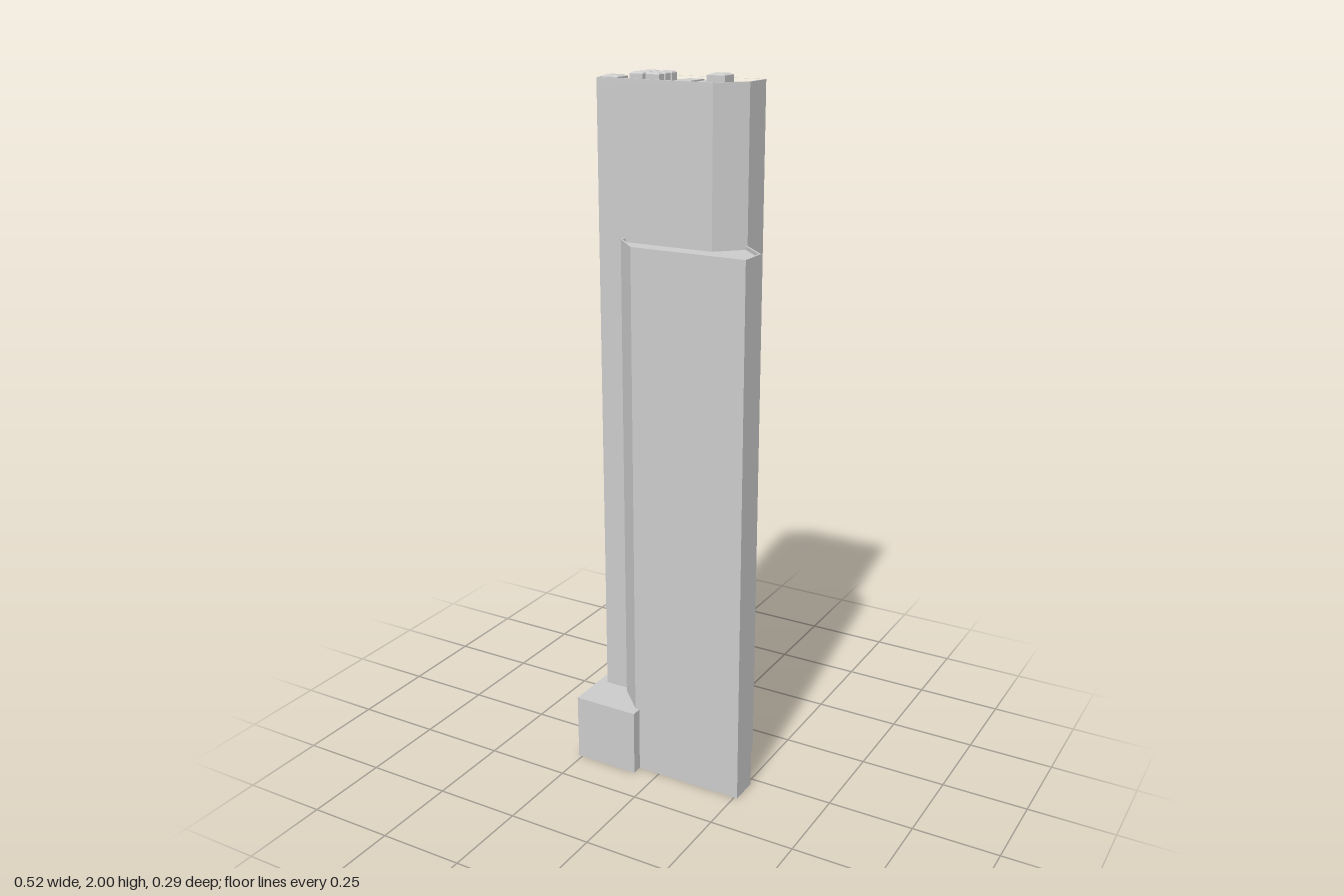
import * as THREE from 'three';

const material = new THREE.MeshStandardMaterial({ color: 0xcccccc, flatShading: true });

function addMesh(parent, name, geometry) {
  const mesh = new THREE.Mesh(geometry, material);
  mesh.name = name;
  parent.add(mesh);
  return mesh;
}

// Vertical prism over a plan outline of [x, z] points
function prism(plan, y0, y1, hole) {
  const flip = (pts) => pts.map(([x, z]) => new THREE.Vector2(x, -z));
  const shape = new THREE.Shape(flip(plan));
  if (hole) shape.holes.push(new THREE.Path(flip(hole)));
  const g = new THREE.ExtrudeGeometry(shape, { depth: y1 - y0, bevelEnabled: false });
  return g.rotateX(-Math.PI / 2).translate(0, y0, 0);
}

const rect = (x0, x1, z0, z1) => [[x0, z0], [x1, z0], [x1, z1], [x0, z1]];

// Mitred offset of a plan path, to the right-hand side in x/z (inward when clockwise from above)
function offset(path, d, closed) {
  const n = path.length;
  const normal = (a, b) => {
    const dx = b[0] - a[0], dz = b[1] - a[1], l = Math.hypot(dx, dz);
    return [-dz / l, dx / l];
  };
  return path.map((p, i) => {
    const prev = closed || i > 0 ? path[(i + n - 1) % n] : null;
    const next = closed || i < n - 1 ? path[(i + 1) % n] : null;
    const a = prev ? normal(prev, p) : normal(p, next);
    const b = next ? normal(p, next) : a;
    const k = d / (1 + a[0] * b[0] + a[1] * b[1]);
    return [p[0] + (a[0] + b[0]) * k, p[1] + (a[1] + b[1]) * k];
  });
}

// Rooftop box whose top edges slope inward
function roofUnit(parent, name, [x0, x1, z0, z1], y0, y1, inset, slope) {
  const unit = new THREE.Group();
  unit.name = name;
  const w = x1 - x0, d = z1 - z0, cx = (x0 + x1) / 2, cz = (z0 + z1) / 2;
  const yMid = y1 - slope;
  addMesh(unit, 'housing', new THREE.BoxGeometry(w, yMid - y0, d).translate(cx, (y0 + yMid) / 2, cz));
  const cap = new THREE.BoxGeometry(w, slope, d);
  const pos = cap.attributes.position;
  for (let i = 0; i < pos.count; i++) {
    if (pos.getY(i) > 0) {
      pos.setX(i, pos.getX(i) - Math.sign(pos.getX(i)) * inset);
      pos.setZ(i, pos.getZ(i) - Math.sign(pos.getZ(i)) * inset);
    }
  }
  cap.computeVertexNormals();
  addMesh(unit, 'cap', cap.translate(cx, yMid + slope / 2, cz));
  parent.add(unit);
}

export function createModel() {
  const model = new THREE.Group();
  model.name = 'tower';

  // Tall main block with parapet
  const roofY = 1.976, topY = 1.986, rim = 0.006;
  const main = [[-0.163, -0.143], [0.182, -0.143], [0.182, -0.052],
    [0.113, 0.018], [-0.235, 0.018], [-0.235, -0.073]];
  addMesh(model, 'mainBlock', prism(main, 0, roofY));
  addMesh(model, 'mainParapet', prism(main, roofY, topY, offset(main, rim, true)));

  // Lower front wing, its parapet open towards the main block
  const wingTop = 1.567;
  const wing = [[0.182, -0.052], [0.26, 0.025], [0.26, 0.111],
    [-0.079, 0.111], [-0.157, 0.033], [-0.157, 0.018]];
  addMesh(model, 'frontWing', prism([...wing, [0.113, 0.018]], 0, wingTop - 0.01));
  addMesh(model, 'wingParapet',
    prism([...wing, ...offset(wing, 0.005, false).reverse()], wingTop - 0.01, wingTop));

  // Low annex at the corner
  addMesh(model, 'annex', prism(rect(-0.262, -0.066, -0.143, 0.142), 0, 0.197));

  // Shallow roof levels
  const roof = new THREE.Group();
  roof.name = 'roofDetails';
  model.add(roof);
  addMesh(roof, 'roofBand', prism(rect(-0.043, 0.003, -0.137, 0.012), roofY, roofY + 0.004));
  addMesh(roof, 'roofStep', prism(
    [[0.076, -0.097], [0.176, -0.097], [0.176, -0.054], [0.11, 0.012], [0.076, 0.012]],
    roofY, roofY + 0.003));

  // Two stair heads and a grid of cooling units
  roofUnit(roof, 'stairHead', [0.045, 0.098, -0.125, -0.073], roofY, 2.0, 0.009, 0.004);
  roofUnit(roof, 'cornerStairHead', [-0.227, -0.173, -0.04, 0.013], roofY, 1.992, 0.009, 0.004);
  for (const [x0, z0] of [[-0.156, -0.115], [-0.108, -0.117]]) {
    for (let row = 0; row < 3; row++) {
      const z = z0 + row * 0.0345;
      roofUnit(roof, 'coolingUnit', [x0, x0 + 0.04, z, z + 0.026], roofY, 2.0, 0.005, 0.004);
    }
  }
  return model;
}
